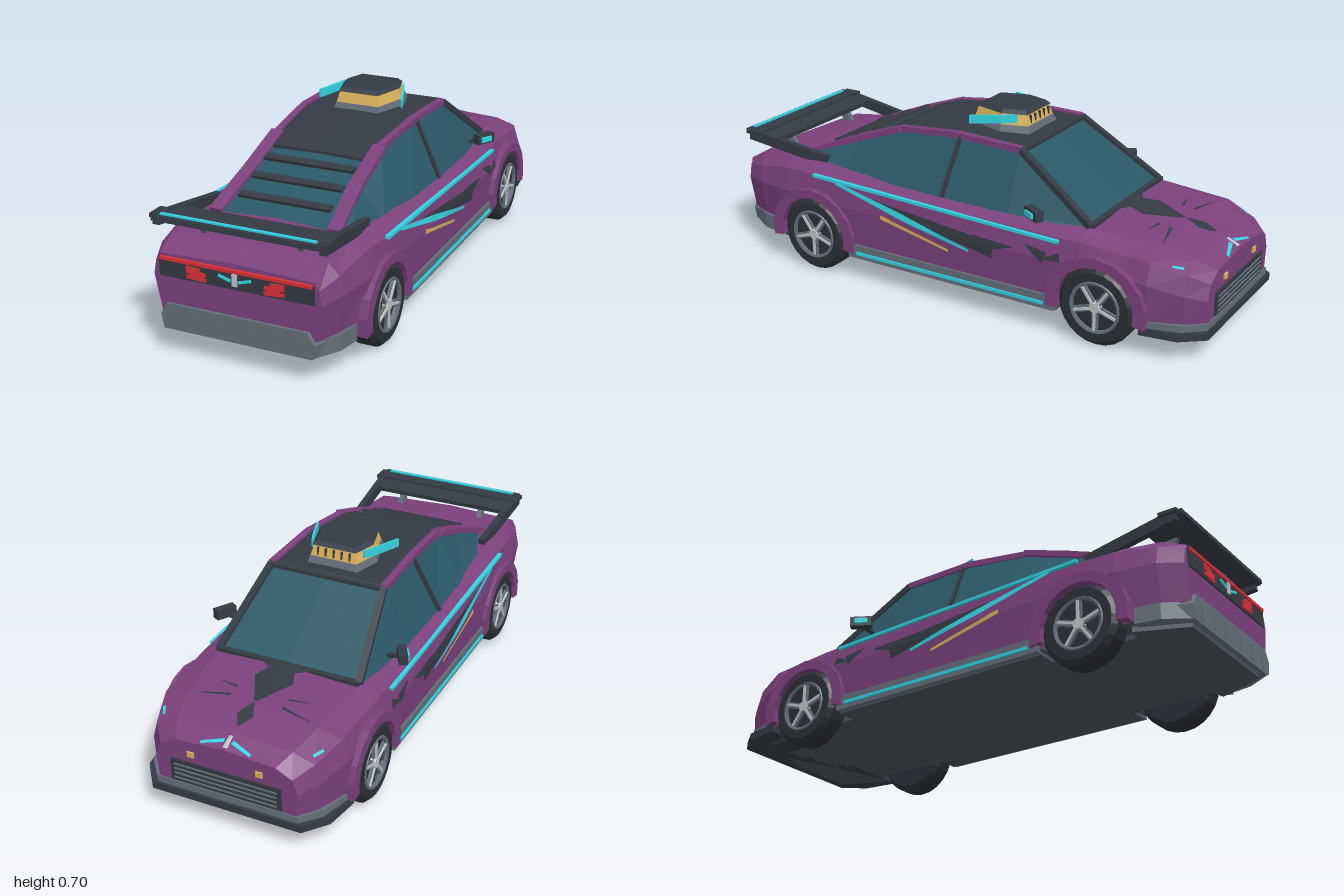
import * as THREE from 'three';

const mat = (name, color) =>
  Object.assign(new THREE.MeshStandardMaterial({ color, flatShading: true, side: THREE.DoubleSide }), { name });

export function createModel() {
  const car = new THREE.Group();
  car.name = 'car';
  const purple = mat('purple paint', 0x7c417d), dark = mat('dark trim', 0x343a44), grey = mat('grey plastic', 0x646e7a),
    glass = mat('teal glass', 0x2a5866), cyan = mat('cyan glow', 0x32d4e2), gold = mat('gold', 0xdab25c),
    red = mat('red light', 0xdc2f37), silver = mat('silver', 0xc0c4c8), tyre = mat('tyre rubber', 0x2b3037),
    under = mat('underbody', 0x4b525c);

  const add = (name, geo, m, parent = car) => {
    const mesh = new THREE.Mesh(geo, m);
    mesh.name = name;
    parent.add(mesh);
    return mesh;
  };
  const box = (name, m, x, y, z, w, h, d) => {
    const b = add(name, new THREE.BoxGeometry(w, h, d), m);
    b.position.set(x, y, z);
    return b;
  };
  // Box running from point a to point b
  const bar = (name, m, a, b, w, h) => {
    const A = new THREE.Vector3(...a), B = new THREE.Vector3(...b);
    const mesh = add(name, new THREE.BoxGeometry(w, h, A.distanceTo(B)), m);
    mesh.position.copy(A).add(B).multiplyScalar(0.5);
    mesh.lookAt(B);
  };
  // Skin over a row of cross-sections, optionally capped
  const loft = (name, m, rings, caps = false) => {
    const n = rings[0].length, last = (rings.length - 1) * n, idx = [];
    for (let i = 0; i < rings.length - 1; i++)
      for (let j = 0; j < n - 1; j++) {
        const a = i * n + j, b = a + n;
        idx.push(a, a + 1, b, a + 1, b + 1, b);
      }
    if (caps) for (let k = 1; k < n - 1; k++) idx.push(0, k + 1, k, last, last + k, last + k + 1);
    const g = new THREE.BufferGeometry();
    g.setAttribute('position', new THREE.Float32BufferAttribute(rings.flat(2), 3));
    g.setIndex(idx);
    g.computeVertexNormals();
    add(name, g, m);
  };
  // Upright prism from a half outline [x, z], mirrored in x
  const mirrored = (half) => [...half, ...half.slice().reverse().map(([x, z]) => [-x, z])];
  const plan = (name, m, half, y0, y1) => {
    const s = new THREE.Shape(mirrored(half).map(([x, z]) => new THREE.Vector2(x, -z)));
    const g = new THREE.ExtrudeGeometry(s, { depth: y1 - y0, bevelEnabled: false });
    add(name, g.rotateX(-Math.PI / 2).translate(0, y0, 0), m);
  };
  const interp = (keys, z) => {
    let i = 0;
    while (i < keys.length - 2 && z > keys[i + 1][0]) i++;
    const a = keys[i], b = keys[i + 1], t = (z - a[0]) / (b[0] - a[0]);
    return a.map((v, k) => v + (b[k] - v) * t);
  };

  // Body: z, bottomY, bottomX, midX, midY, shoulderX, shoulderY, topX, topY
  const bodyKeys = [
    [-0.985, 0.12, 0.26, 0.27, 0.22, 0.25, 0.275, 0.19, 0.305],
    [-0.92, 0.11, 0.31, 0.32, 0.24, 0.3, 0.31, 0.22, 0.335],
    [-0.8, 0.11, 0.355, 0.365, 0.27, 0.34, 0.345, 0.25, 0.365],
    [-0.54, 0.1, 0.36, 0.37, 0.28, 0.35, 0.362, 0.28, 0.393],
    [0, 0.1, 0.362, 0.373, 0.28, 0.36, 0.372, 0.31, 0.402],
    [0.5, 0.1, 0.362, 0.373, 0.29, 0.362, 0.388, 0.31, 0.418],
    [0.75, 0.11, 0.355, 0.37, 0.3, 0.348, 0.388, 0.29, 0.425],
    [0.9, 0.12, 0.315, 0.345, 0.3, 0.33, 0.365, 0.29, 0.405],
    [0.985, 0.14, 0.28, 0.31, 0.29, 0.3, 0.34, 0.285, 0.368],
  ];
  const WZ = 0.615, WY = 0.147, ARCH = 0.15;
  const half = (z) => {
    const k = interp(bodyKeys, z), d = Math.abs(Math.abs(z) - WZ);
    const bot = d < ARCH + 1e-6 ? WY + Math.sqrt(Math.max(0, ARCH * ARCH - d * d)) : k[1];
    return [[k[2], bot], [k[3], Math.max(k[4], bot + 0.012)], [k[5], k[6]], [k[7], k[8]], [0, k[8] + 0.012]];
  };
  const stations = bodyKeys.map((k) => k[0]);
  for (const s of [-1, 1]) {
    for (let i = 0; i <= 12; i++) stations.push(s * WZ - ARCH * Math.cos((i * Math.PI) / 12));
    stations.push(s * WZ - ARCH - 0.002, s * WZ + ARCH + 0.002);
  }
  stations.sort((a, b) => a - b);
  const bodyRings = stations.map((z) => {
    const h = half(z);
    return [...h.map(([x, y]) => [x, y, z]), ...h.slice(0, 4).reverse().map(([x, y]) => [-x, y, z])];
  });
  loft('body', purple, bodyRings, true);
  loft('wheelWells', under, bodyRings.map((r) => [r[r.length - 1], r[0]]));
  plan('floor', under, [[0.25, -0.97], [0.34, -0.79], [0.28, -0.78], [0.28, -0.45], [0.355, -0.45],
    [0.355, 0.45], [0.28, 0.45], [0.28, 0.78], [0.33, 0.79], [0.25, 0.97]], 0.085, 0.105);

  // Points lying just above the side and the bonnet
  const sidePoint = (s, lift) => (z, y) => {
    const h = half(z);
    let i = 0;
    while (i < 2 && y > h[i + 1][1]) i++;
    const t = (y - h[i][1]) / (h[i + 1][1] - h[i][1]);
    return [s * (h[i][0] + (h[i + 1][0] - h[i][0]) * t + lift), y, z];
  };
  const hoodPoint = (x, z) => {
    const h = half(z), ax = Math.abs(x), i = ax < h[3][0] ? 3 : 2;
    const t = (ax - h[i][0]) / (h[i + 1][0] - h[i][0]);
    return [x, h[i][1] + (h[i + 1][1] - h[i][1]) * t + 0.005, z];
  };
  // Painted strip from a to b with its width running w0 to w1
  const stripe = (name, m, at, a, b, w0, w1) => {
    const dx = b[0] - a[0], dy = b[1] - a[1], L = Math.hypot(dx, dy), rings = [];
    for (let i = 0; i <= 12; i++) {
      const t = i / 12, w = (w0 + (w1 - w0) * t) / 2;
      rings.push([-1, 0, 1].map((k) => at(a[0] + dx * t - (k * w * dy) / L, a[1] + dy * t + (k * w * dx) / L)));
    }
    loft(name, m, rings);
  };

  // Cabin: z, beltX, beltY, roofX, roofY
  const cabinKeys = [[-0.54, 0.285, 0.385, 0.275, 0.395], [-0.23, 0.32, 0.395, 0.225, 0.605], [0.05, 0.325, 0.4, 0.22, 0.612],
    [0.3, 0.32, 0.405, 0.208, 0.585], [0.5, 0.31, 0.41, 0.21, 0.515], [0.72, 0.285, 0.415, 0.23, 0.425]];
  loft('cabinGlass', glass, cabinKeys.map(([z, bx, by, rx, ry]) =>
    [[bx, by, z], [rx, ry, z], [0, ry + 0.006, z], [-rx, ry, z], [-bx, by, z]]), true);
  loft('roofPanel', dark, [-0.245, -0.23, 0.05, 0.3, 0.385].map((z, i) => {
    const [, , , rx, ry] = interp(cabinKeys, z), w = rx - 0.008, e = i === 0 ? 0 : 0.012;
    return [[w, ry, z], [w - 0.02, ry + e, z], [0, ry + 0.004 + e, z], [-w + 0.02, ry + e, z], [-w, ry, z]];
  }), true);
  for (const z of [0.45, 0.545, 0.638]) {
    const y = interp(cabinKeys, z)[4];
    bar('rearLouvre', dark, [0, y + 0.018, z - 0.013], [0, y + 0.008, z + 0.013], 0.35, 0.012);
  }
  bar('windscreenHeader', dark, [-0.22, 0.607, -0.235], [0.22, 0.607, -0.235], 0.03, 0.012);
  bar('windscreenCowl', dark, [-0.28, 0.4, -0.545], [0.28, 0.4, -0.545], 0.022, 0.014);

  for (const s of [-1, 1]) {
    // Pillars and roof rails
    const edge = (k, o) => [s * (k[3] - o), k[4] + 0.002, k[0]];
    for (let i = 0; i < 5; i++)
      bar(i ? 'roofRail' : 'windscreenPillar', i ? purple : dark, edge(cabinKeys[i], i > 2 ? 0.005 : 0),
        edge(cabinKeys[i + 1], i > 1 ? 0.005 : 0), i > 2 ? 0.05 : 0.026, 0.022);
    bar('doorPillar', dark, [s * 0.325, 0.4, 0.045], [s * 0.222, 0.606, 0.025], 0.012, 0.028);

    // Side paintwork
    const side = sidePoint(s, 0.005), sideOver = sidePoint(s, 0.009);
    stripe('sideBlade', dark, side, [0.42, 0.355], [-0.2, 0.265], 0.004, 0.06);
    stripe('sideBladeTip', dark, side, [-0.12, 0.278], [-0.28, 0.296], 0.06, 0.004);
    stripe('sideShard', dark, side, [-0.33, 0.318], [-0.41, 0.285], 0.004, 0.044);
    stripe('sideShard', dark, side, [-0.4, 0.282], [-0.47, 0.298], 0.004, 0.034);
    bar('beltStripe', cyan, [s * 0.366, 0.39, 0.61], [s * 0.36, 0.352, -0.46], 0.016, 0.011);
    stripe('slashStripe', cyan, sideOver, [0.5, 0.38], [0.2, 0.311], 0.012, 0.024);
    stripe('slashStripe', cyan, sideOver, [0.2, 0.311], [-0.1, 0.243], 0.024, 0.011);
    stripe('goldStripe', gold, side, [0.29, 0.288], [-0.01, 0.22], 0.016, 0.01);
    box('sideSill', grey, s * 0.356, 0.118, 0, 0.036, 0.055, 0.9);
    box('sillStripe', cyan, s * 0.376, 0.113, 0, 0.008, 0.012, 0.82);

    // Door mirrors
    bar('mirrorArm', dark, [s * 0.3, 0.415, -0.35], [s * 0.35, 0.43, -0.36], 0.02, 0.012);
    bar('mirror', dark, [s * 0.338, 0.436, -0.325], [s * 0.378, 0.436, -0.395], 0.032, 0.038);
    bar('mirrorLight', cyan, [s * 0.362, 0.436, -0.327], [s * 0.386, 0.436, -0.369], 0.008, 0.02);

    for (const e of [-1, 1]) {
      // Wheel arch flare
      const sh = new THREE.Shape(), N = 10, angle = (i) => -0.2 + (i / N) * (Math.PI + 0.4);
      for (let i = 0; i <= N; i++) sh[i ? 'lineTo' : 'moveTo'](Math.cos(angle(i)) * 0.195, Math.sin(angle(i)) * 0.186);
      for (let i = N; i >= 0; i--) sh.lineTo(Math.cos(angle(i)) * 0.15, Math.sin(angle(i)) * 0.15);
      const flare = add('wheelArch', new THREE.ExtrudeGeometry(sh, { depth: 0.035, bevelEnabled: false }), purple);
      flare.rotation.y = Math.PI / 2;
      flare.position.set(s > 0 ? 0.35 : -0.385, WY, e * WZ);

      // Wheel
      const wheel = new THREE.Group();
      wheel.name = 'wheel';
      wheel.position.set(s * 0.33, WY, e * WZ);
      wheel.rotation.z = -s * Math.PI / 2;
      car.add(wheel);
      const profile = [[0.01, -0.05], [0.13, -0.05], [0.147, -0.032], [0.147, 0.032], [0.13, 0.05], [0.098, 0.05], [0.092, 0.03], [0.001, 0.03]];
      add('tyre', new THREE.LatheGeometry(profile.map((p) => new THREE.Vector2(...p)), 24), tyre, wheel);
      const rim = add('rim', new THREE.TorusGeometry(0.092, 0.008, 5, 24), grey, wheel);
      rim.rotation.x = Math.PI / 2;
      rim.position.y = 0.046;
      add('hub', new THREE.CylinderGeometry(0.02, 0.024, 0.02, 10), silver, wheel).position.y = 0.042;
      for (let i = 0; i < 5; i++) {
        const a = (i * Math.PI * 2) / 5;
        for (const [name, m, len, w, y] of [['spoke', grey, 0.078, 0.022, 0.04], ['spokeFace', silver, 0.068, 0.009, 0.046]]) {
          const spoke = add(name, new THREE.BoxGeometry(len, 0.01, w), m, wheel);
          spoke.position.set(Math.cos(a) * 0.052, y, -Math.sin(a) * 0.052);
          spoke.rotation.y = a;
        }
      }
    }

    // Wing supports
    bar('wingArm', dark, [s * 0.285, 0.425, 0.6], [s * 0.305, 0.478, 0.965], 0.025, 0.042);
    bar('wingStrut', grey, [s * 0.18, 0.405, 0.85], [s * 0.18, 0.475, 0.89], 0.02, 0.035);

    // Tail light shards and rear emblem wings
    for (const [x, y, w] of [[0.155, 0.336, 0.05], [0.143, 0.323, 0.072], [0.14, 0.314, 0.05], [0.143, 0.304, 0.074]])
      box('tailShard', red, s * x, y, 0.993, w, 0.011, 0.006).rotation.z = s * 0.06;
    bar('rearEmblemWing', cyan, [s * 0.015, 0.32, 0.993], [s * 0.06, 0.333, 0.993], 0.006, 0.009);

    // Bonnet and nose details
    stripe('bonnetSlit', dark, hoodPoint, [s * 0.1, -0.765], [s * 0.215, -0.79], 0.014, 0.003);
    stripe('bonnetSlit', dark, hoodPoint, [s * 0.1, -0.72], [s * 0.17, -0.705], 0.01, 0.003);
    stripe('noseEmblemWing', cyan, hoodPoint, [s * 0.015, -0.955], [s * 0.095, -0.978], 0.014, 0.01);
    box('noseLight', gold, s * 0.13, 0.262, -0.988, 0.025, 0.02, 0.008);
    stripe('noseMarker', cyan, hoodPoint, [s * 0.285, -0.9], [s * 0.305, -0.865], 0.01, 0.01);

    // Roof pod fin
    loft('roofPodFin', cyan, [[0.1, 0.658, 0.688, -0.14], [0.122, 0.652, 0.684, -0.09], [0.162, 0.645, 0.677, 0.025]]
      .map(([x, y0, y1, z]) => [[x, y0], [x, y1], [x + 0.008, y1], [x + 0.008, y0], [x, y0]].map(([px, py]) => [s * px, py, z])), true);
  }

  // Bonnet spear
  stripe('bonnetSpear', dark, hoodPoint, [0, -0.77], [0, -0.64], 0.012, 0.15);
  stripe('bonnetSpear', dark, hoodPoint, [0, -0.64], [0, -0.585], 0.15, 0.1);
  stripe('bonnetSpear', dark, hoodPoint, [0, -0.585], [0, -0.54], 0.1, 0.24);
  stripe('bonnetDiamond', dark, hoodPoint, [0, -0.89], [0, -0.84], 0.012, 0.06);
  stripe('bonnetDiamond', dark, hoodPoint, [0, -0.84], [0, -0.78], 0.06, 0.004);
  stripe('noseEmblem', silver, hoodPoint, [0, -0.98], [0, -0.935], 0.018, 0.014);

  // Grille and splitter
  box('grille', dark, 0, 0.185, -0.985, 0.42, 0.085, 0.014);
  for (let i = 0; i < 4; i++) box('grilleSlat', grey, 0, 0.157 + i * 0.018, -0.992, 0.39, 0.005, 0.008);
  plan('frontLip', grey, [[0.27, -0.99], [0.33, -0.92], [0.366, -0.785], [0.3, -0.785]], 0.11, 0.136);
  plan('splitter', dark, [[0.285, -1], [0.352, -0.915], [0.372, -0.78], [0.3, -0.78]], 0.085, 0.112);

  // Rear bumper
  plan('bumperWings', grey, [[0.3, 0.81], [0.35, 0.81], [0.332, 0.9], [0.275, 0.99]], 0.1, 0.16);
  loft('rearBumper', grey, [[0.9, 0.3], [0.996, 0.265]].map(([z, w]) =>
    [[w + 0.01, 0.1, z], [w + 0.02, 0.15, z], [w - 0.005, 0.193, z], [-w + 0.005, 0.193, z], [-w - 0.02, 0.15, z], [-w - 0.01, 0.1, z]]), true);
  for (const x of [-0.228, -0.143, -0.058, 0.058, 0.143, 0.228]) box('bumperFin', grey, x, 0.136, 0.994, 0.012, 0.055, 0.012);

  // Tail panel
  box('tailPanel', dark, 0, 0.324, 0.986, 0.57, 0.068, 0.01);
  box('tailBar', red, 0, 0.355, 0.99, 0.56, 0.012, 0.012);
  box('rearEmblem', silver, 0, 0.325, 0.993, 0.018, 0.042, 0.008);

  // Rear wing
  bar('rearWing', dark, [0, 0.47, 0.83], [0, 0.488, 0.988], 0.62, 0.018);
  box('wingTips', dark, 0, 0.49, 0.94, 0.65, 0.014, 0.07);
  box('wingStripe', cyan, 0, 0.497, 0.967, 0.57, 0.012, 0.012);

  // Roof pod, each tier tapering from y0 to y1
  const hex = mirrored([[0.085, -0.17], [0.112, -0.08], [0.078, 0.045]]);
  const tier = (name, m, y0, k0, y1, k1) => loft(name, m, [[y1, k1], [y0, k0]].map(([y, k]) =>
    [...hex, hex[0]].map(([x, z]) => [x * k, y, (z + 0.06) * k - 0.06])), true);
  tier('roofPodBase', grey, 0.608, 1.22, 0.646, 1.1);
  tier('roofPodBand', gold, 0.646, 1.08, 0.687, 0.97);
  tier('roofPodLid', dark, 0.686, 1.02, 0.7, 0.88);
  for (let i = -2; i <= 2; i++) box('roofPodSlot', dark, i * 0.032, 0.666, -0.173, 0.006, 0.03, 0.01);
  return car;
}
